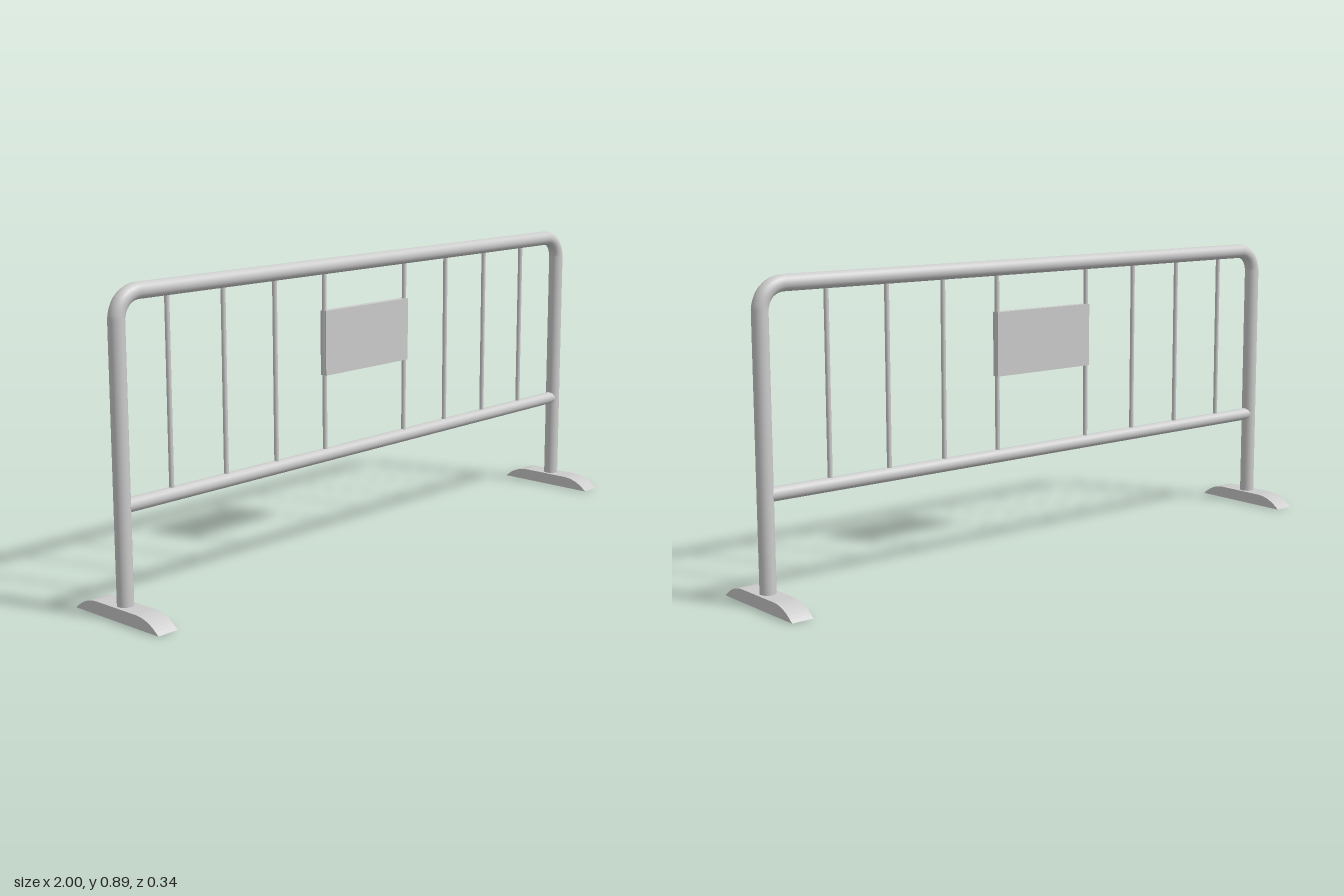
import * as THREE from 'three';

const material = new THREE.MeshStandardMaterial({ color: 0xcccccc });

function add(group, name, geometry, x = 0, y = 0, z = 0) {
  const mesh = new THREE.Mesh(geometry, material);
  mesh.name = name;
  mesh.position.set(x, y, z);
  group.add(mesh);
  return mesh;
}

export function createModel() {
  const group = new THREE.Group();
  group.name = 'crowdBarrier';
  const postX = 0.967, topY = 0.872, bend = 0.066, footTop = 0.037;
  const v = (x, y) => new THREE.Vector3(x, y, 0);

  // Bent tube: two posts and the top rail in one sweep
  const path = new THREE.CurvePath();
  path.add(new THREE.LineCurve3(v(-postX, 0.02), v(-postX, topY - bend)));
  path.add(new THREE.QuadraticBezierCurve3(v(-postX, topY - bend), v(-postX + 0.008, topY - 0.008), v(-postX + bend, topY)));
  path.add(new THREE.LineCurve3(v(-postX + bend, topY), v(postX - bend, topY)));
  path.add(new THREE.QuadraticBezierCurve3(v(postX - bend, topY), v(postX - 0.008, topY - 0.008), v(postX, topY - bend)));
  path.add(new THREE.LineCurve3(v(postX, topY - bend), v(postX, 0.02)));
  add(group, 'frameTube', new THREE.TubeGeometry(path, 360, 0.023, 20));

  // Lower rail
  const rail = add(group, 'lowerRail', new THREE.CylinderGeometry(0.02, 0.02, 1.91, 20), 0, 0.308);
  rail.rotation.z = Math.PI / 2;

  // Thin upright bars
  for (const x of [-0.796, -0.595, -0.398, -0.195, 0.162, 0.363, 0.56, 0.76]) {
    add(group, 'uprightBar', new THREE.CylinderGeometry(0.007, 0.007, topY - 0.308, 12), x, (topY + 0.308) / 2);
  }

  // Sign plate between the two middle bars
  add(group, 'signPlate', new THREE.BoxGeometry(0.368, 0.192, 0.022), -0.016, 0.646);

  // Feet: low profile with curved ends, extruded across the width
  const foot = new THREE.Shape();
  foot.moveTo(-0.17, 0);
  foot.lineTo(0.17, 0);
  foot.quadraticCurveTo(0.13, footTop, 0.08, footTop);
  foot.lineTo(-0.08, footTop);
  foot.quadraticCurveTo(-0.13, footTop, -0.17, 0);
  const width = 0.066;
  const footGeometry = new THREE.ExtrudeGeometry(foot, { depth: width, bevelEnabled: false, curveSegments: 8 });
  footGeometry.translate(0, 0, -width / 2).rotateY(Math.PI / 2);
  for (const side of [-1, 1]) add(group, side < 0 ? 'rightFoot' : 'leftFoot', footGeometry, side * postX);

  return group;
}
